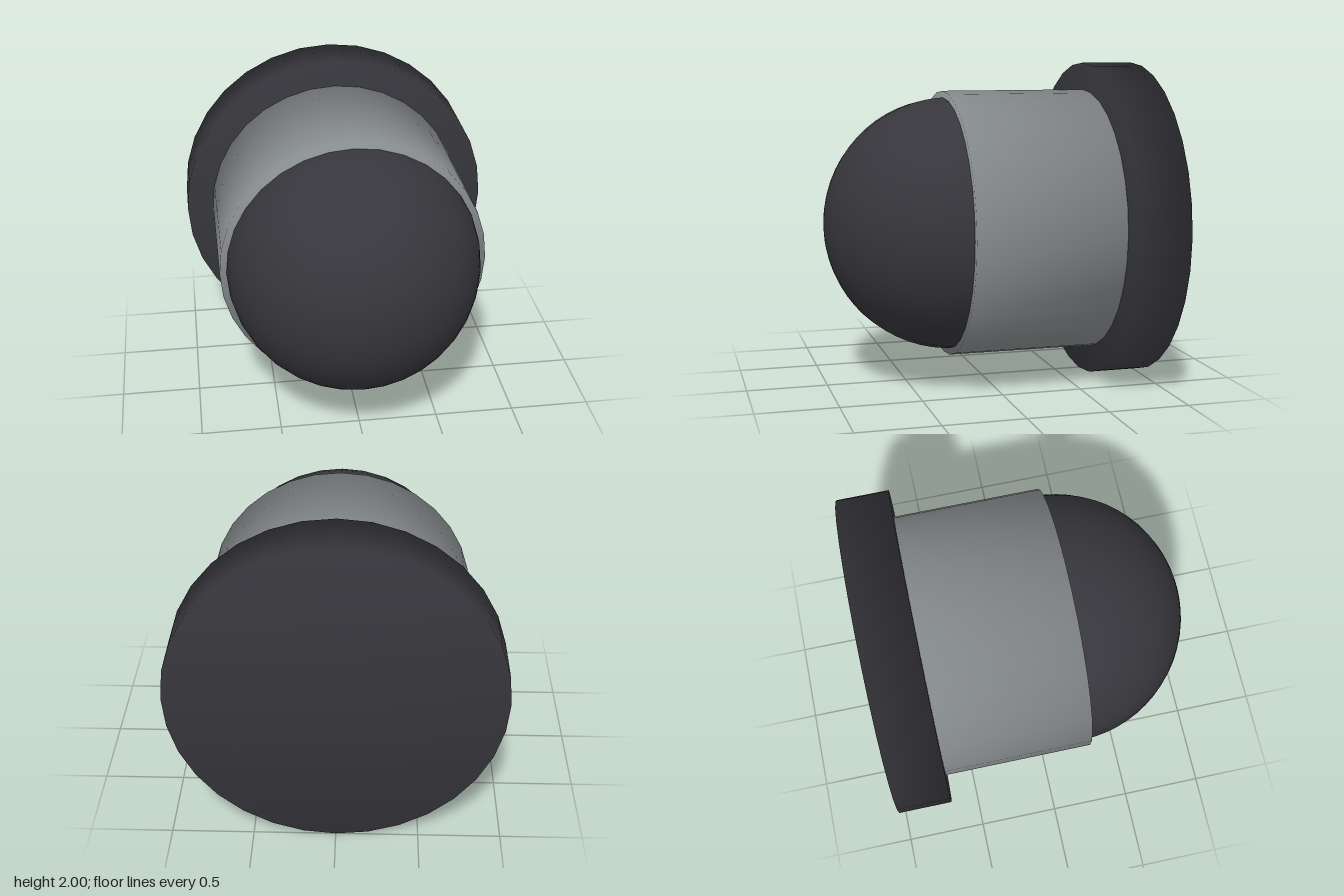
import * as THREE from 'three';

const SEGMENTS = 32;

// Closed drum along z with normals blended softly over its rims
function drum(name, radius, back, front, material) {
  const profile = [[0, back], [radius, back], [radius, front], [0, front]]
    .map(([r, z]) => new THREE.Vector2(r, z));
  const geometry = new THREE.LatheGeometry(profile, SEGMENTS);
  geometry.rotateX(Math.PI / 2);
  const mesh = new THREE.Mesh(geometry, material);
  mesh.name = name;
  return mesh;
}

export function createModel() {
  const charcoal = new THREE.MeshStandardMaterial({ color: 0x37363c });
  charcoal.name = 'charcoal';
  const grey = new THREE.MeshStandardMaterial({ color: 0x878c8e });
  grey.name = 'grey';

  const model = new THREE.Group();
  model.name = 'domedButton';

  // Wide rear flange and the collar standing on it
  model.add(drum('rearFlange', 1, -1, -0.67, charcoal));
  model.add(drum('collar', 0.83, -0.67, 0.25, grey));

  // Rounded front cap, seated in the collar
  const domeGeometry = new THREE.SphereGeometry(0.79, SEGMENTS, 16, 0, Math.PI * 2, 0, Math.PI / 2);
  domeGeometry.rotateX(Math.PI / 2);
  const dome = new THREE.Mesh(domeGeometry, charcoal);
  dome.name = 'frontDome';
  dome.position.z = 0.21;
  model.add(dome);

  // Rest the flange rim on the ground
  for (const part of model.children) part.position.y = 1;
  return model;
}
